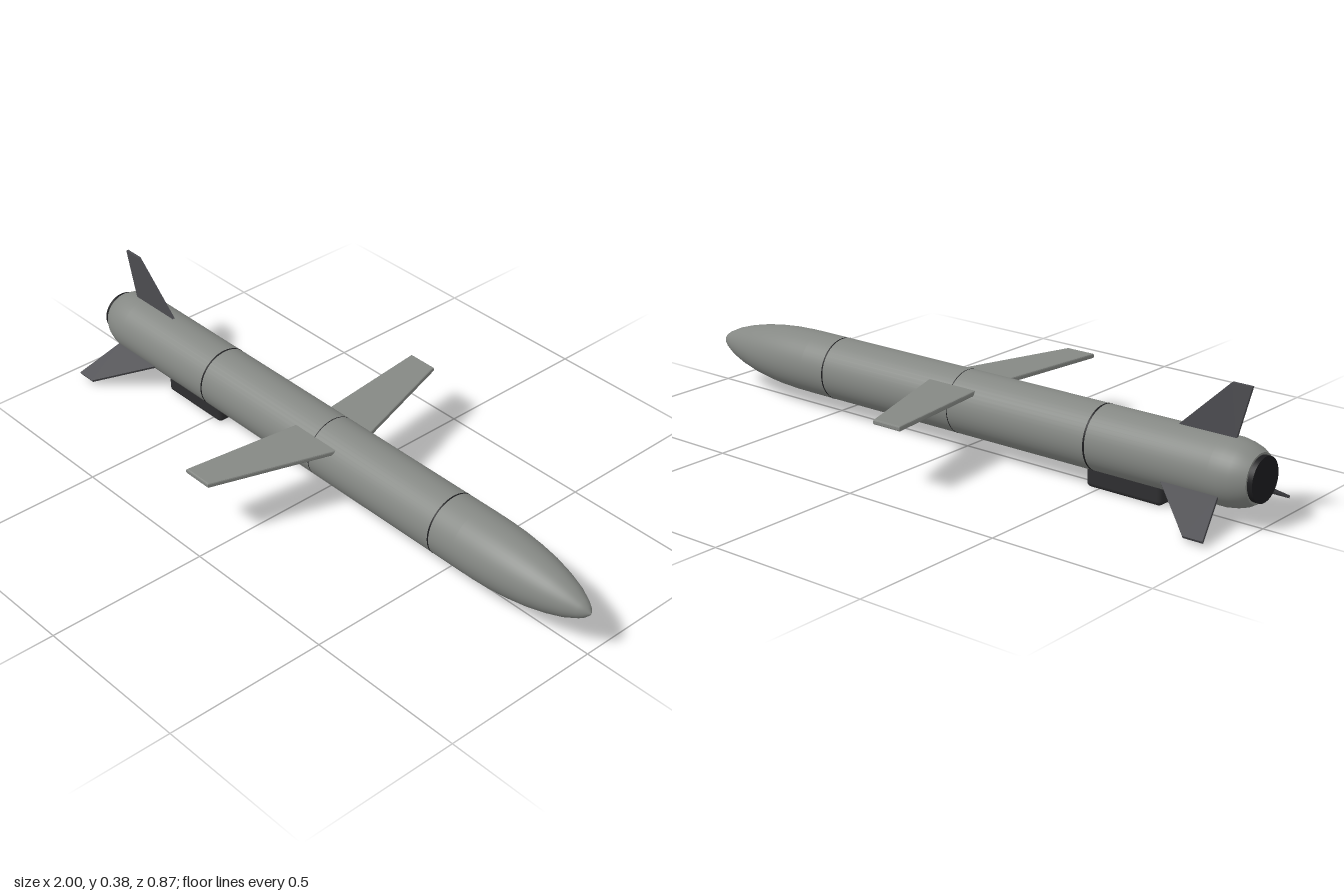
import * as THREE from 'three';
import { RoundedBoxGeometry } from 'three/addons/geometries/RoundedBoxGeometry.js';

const AXIS_Y = 0.138, R = 0.095;

const mat = (name, color) => {
  const m = new THREE.MeshStandardMaterial({ color });
  m.name = name;
  return m;
};

export function createModel() {
  const hull = mat('hull grey', 0x858884);
  const finGrey = mat('fin dark grey', 0x4c4c50);
  const dark = mat('intake charcoal', 0x2e2e30);
  const black = mat('nozzle black', 0x1c1c1e);

  const model = new THREE.Group();
  const add = (name, geometry, material, parent = model) => {
    const mesh = new THREE.Mesh(geometry, material);
    mesh.name = name;
    parent.add(mesh);
    return mesh;
  };

  // Everything round is placed along a fuselage axis pointing to +x
  const axis = new THREE.Group();
  axis.name = 'fuselage';
  axis.position.y = AXIS_Y;
  model.add(axis);

  // Body of revolution: closed tail, rounded shoulder, long tube, ogive nose
  const lathe = (pts) => new THREE.LatheGeometry(
    pts.map(([x, r]) => new THREE.Vector2(r, x)), 48).rotateZ(-Math.PI / 2);
  add('tailCone', lathe([[-0.985, 0], [-0.985, 0.07]]), hull, axis);
  add('body', lathe([[-0.985, 0.07], [-0.965, 0.082], [-0.94, 0.09], [-0.91, R], [-0.88, R], [0.58, R]]), hull, axis);
  add('nose', lathe([[0.58, R], [0.64, 0.0945], [0.7, 0.092], [0.76, 0.086], [0.82, 0.077],
    [0.88, 0.063], [0.93, 0.047], [0.97, 0.028], [0.985, 0.018], [0.996, 0.006], [1, 0]]), hull, axis);

  // Engine nozzle: short dark drum at the rear
  add('nozzle', new THREE.CylinderGeometry(0.064, 0.064, 0.03, 48)
    .rotateZ(Math.PI / 2).translate(-0.985, 0, 0), black, axis);

  // Panel seams around the body
  for (const [x, w] of [[-0.485, 0.006], [0, 0.003], [0.49, 0.005]]) {
    add('panelSeam', new THREE.CylinderGeometry(R + 0.0008, R + 0.0008, w, 48, 1, true)
      .rotateZ(Math.PI / 2).translate(x, 0, 0), black, axis);
  }

  // Flat plate from an outline in x (along) and y (span)
  const plate = (pts, thickness, bevel) => {
    const shape = new THREE.Shape(pts.map(([x, y]) => new THREE.Vector2(x, y)));
    const depth = thickness - 2 * bevel;
    return new THREE.ExtrudeGeometry(shape, {
      depth, bevelEnabled: bevel > 0, bevelThickness: bevel, bevelSize: bevel,
      bevelOffset: -bevel, bevelSegments: 2,
    }).translate(0, 0, -depth / 2);
  };

  // Swept main wings
  for (const side of [1, -1]) {
    const wing = add(side > 0 ? 'rightWing' : 'leftWing', plate(
      [[-0.083, 0.055], [0.093, 0.055], [-0.031, 0.436], [-0.127, 0.436]], 0.015, 0.004), hull);
    wing.rotation.x = side * Math.PI / 2;
    wing.position.y = 0.197;
  }

  // Three tail fins, 120 degrees apart
  for (let i = 0; i < 3; i++) {
    const fin = add('tailFin', plate(
      [[-0.905, 0.075], [-0.71, 0.075], [-0.73, 0.094], [-0.89, 0.243], [-0.952, 0.243], [-0.91, 0.094]],
      0.008, 0), finGrey, axis);
    fin.rotation.x = i * 2 * Math.PI / 3;
  }

  // Belly air intake
  add('airIntake', new RoundedBoxGeometry(0.25, 0.08, 0.095, 2, 0.014)
    .translate(-0.585, 0.042, 0), dark);

  return model;
}
